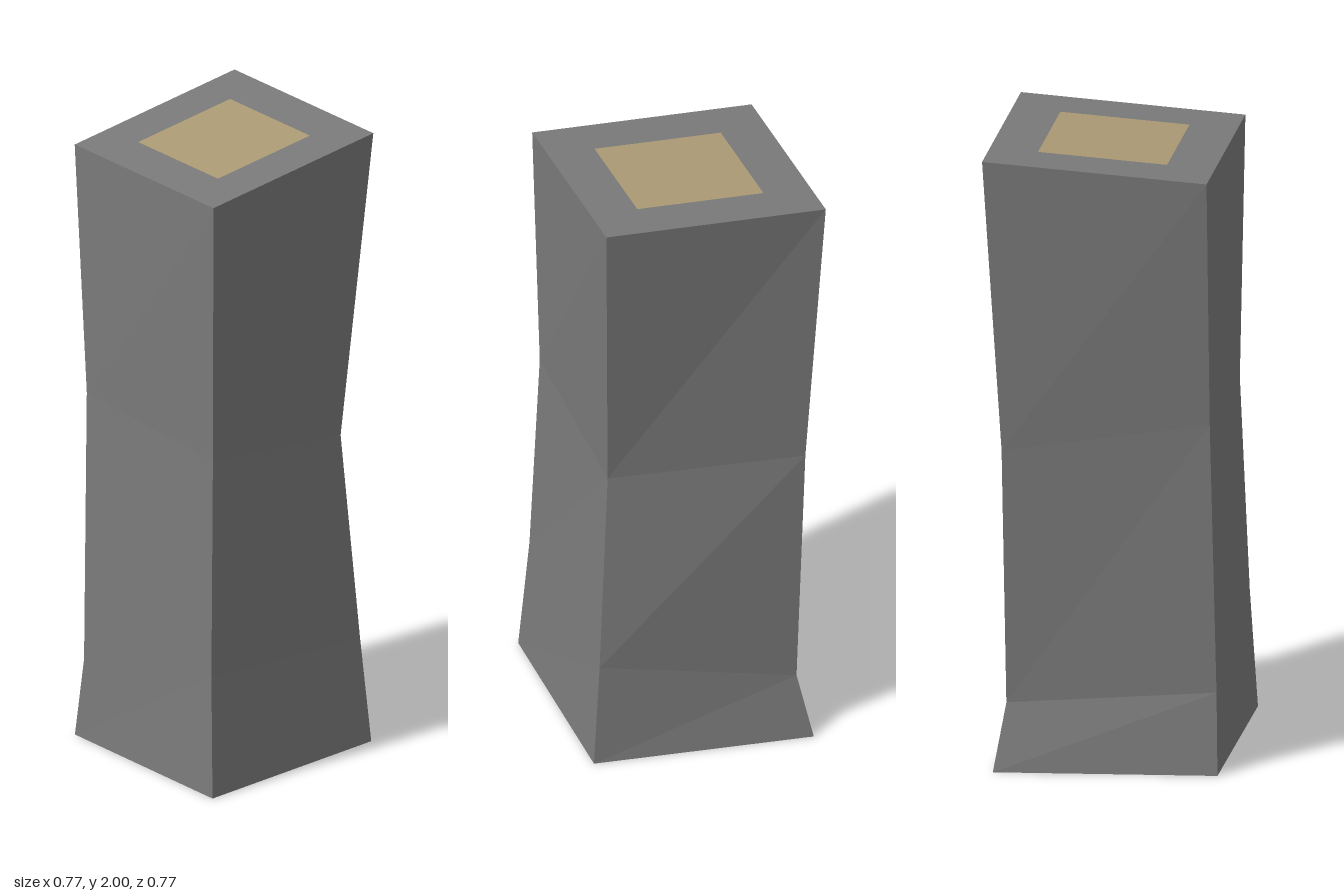
import * as THREE from 'three';

// Each ring lists its corners in order: front -x, front +x, back +x, back -x
const base = [[-0.31, 0, 0.34], [0.385, 0, 0.385], [0.34, 0, -0.31], [-0.355, 0, -0.355]];
const foot = [[-0.275, 0.26, 0.333], [0.355, 0.39, 0.363], [0.315, 0.34, -0.286], [-0.31, 0.215, -0.318]];
const waist = [[-0.285, 1.135, 0.313], [0.33, 1.09, 0.335], [0.276, 1.015, -0.24], [-0.335, 1.045, -0.33]];
const rim = [[-0.345, 1.94, 0.31], [0.35, 1.94, 0.35], [0.31, 2, -0.345], [-0.385, 2, -0.385]];

// Shrinks a ring towards its centre
function inset(ring, scale) {
  const centre = [0, 1, 2].map(k => ring.reduce((sum, p) => sum + p[k], 0) / ring.length);
  return ring.map(p => p.map((v, k) => centre[k] + (v - centre[k]) * scale));
}

// Skins consecutive rings with quads
function loft(rings) {
  const pos = [];
  for (let r = 0; r < rings.length - 1; r++) {
    const lower = rings[r], upper = rings[r + 1];
    for (let i = 0; i < 4; i++) {
      const j = (i + 1) % 4;
      pos.push(...lower[i], ...lower[j], ...upper[j], ...lower[i], ...upper[j], ...upper[i]);
    }
  }
  return toGeometry(pos);
}

function toGeometry(pos) {
  const geometry = new THREE.BufferGeometry();
  geometry.setAttribute('position', new THREE.Float32BufferAttribute(pos, 3));
  geometry.computeVertexNormals();
  return geometry;
}

function addPart(group, name, geometry, color) {
  const material = new THREE.MeshStandardMaterial({ color, flatShading: true, side: THREE.DoubleSide });
  const mesh = new THREE.Mesh(geometry, material);
  mesh.name = name;
  group.add(mesh);
}

export function createModel() {
  const group = new THREE.Group();
  group.name = 'post';
  const stone = 0x7a7a7a;
  const core = inset(rim, 0.575);

  // Hollow shaft, open underneath
  addPart(group, 'shaft', loft([base, foot, waist, rim]), stone);

  // Sloping top border around the inlaid panel
  addPart(group, 'topBorder', loft([rim, core]), stone);
  const [a, b, c, d] = core;
  addPart(group, 'topPanel', toGeometry([a, b, c, a, c, d].flat()), 0xab9a74);

  return group;
}
